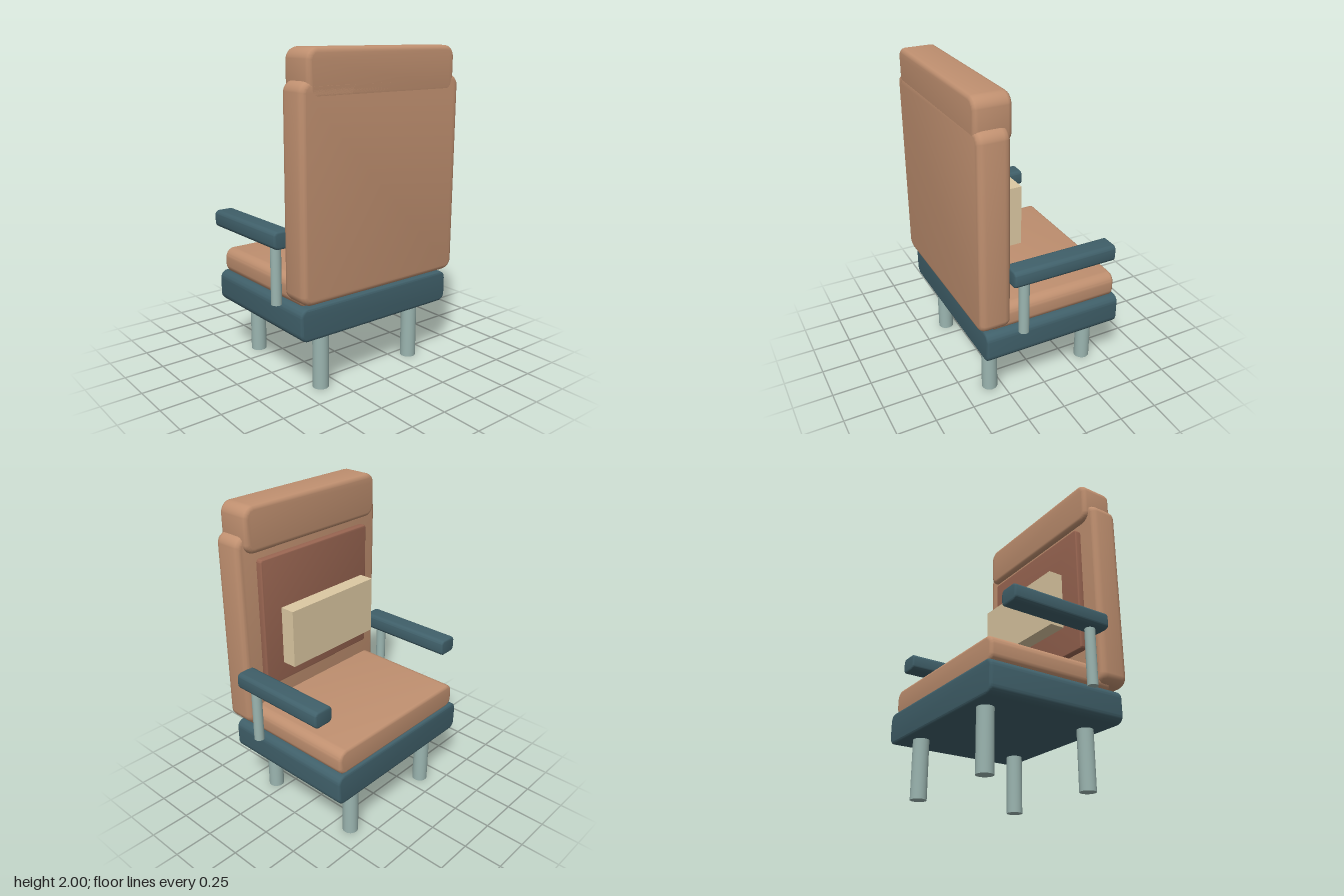
import * as THREE from 'three';
import { toCreasedNormals } from 'three/addons/utils/BufferGeometryUtils.js';

const colored = (color) => new THREE.MeshStandardMaterial({ color });
const leather = colored(0xc09070);
const teal = colored(0x40606a);
const metal = colored(0x9bb5b0);
const panelBrown = colored(0x9a6652);
const cream = colored(0xdcc8a2);

// Rounded outline in x/y, extruded along z with bevelled ends; all limits are outer sizes
function softBlock(name, material, [x0, x1], [y0, y1], [z0, z1], radius, bevel, bevelDepth = bevel) {
  const w = (x1 - x0) / 2 - bevel, h = (y1 - y0) / 2 - bevel;
  const r = Math.max(radius - bevel, 0.005);
  const s = new THREE.Shape();
  s.moveTo(-w + r, -h);
  s.lineTo(w - r, -h);
  s.absarc(w - r, -h + r, r, -Math.PI / 2, 0);
  s.lineTo(w, h - r);
  s.absarc(w - r, h - r, r, 0, Math.PI / 2);
  s.lineTo(-w + r, h);
  s.absarc(-w + r, h - r, r, Math.PI / 2, Math.PI);
  s.lineTo(-w, -h + r);
  s.absarc(-w + r, -h + r, r, Math.PI, Math.PI * 1.5);
  const geometry = new THREE.ExtrudeGeometry(s, {
    depth: z1 - z0 - 2 * bevelDepth,
    bevelSize: bevel, bevelThickness: bevelDepth, bevelSegments: 3, curveSegments: 6,
  });
  geometry.translate((x0 + x1) / 2, (y0 + y1) / 2, z0 + bevelDepth);
  const mesh = new THREE.Mesh(toCreasedNormals(geometry, 0.6), material);
  mesh.name = name;
  return mesh;
}

// Upright round post
function post(name, radius, x, z, y0, y1) {
  const mesh = new THREE.Mesh(new THREE.CylinderGeometry(radius, radius, y1 - y0, 24), metal);
  mesh.position.set(x, (y0 + y1) / 2, z);
  mesh.name = name;
  return mesh;
}

export function createModel() {
  const chair = new THREE.Group();
  chair.name = 'armchair';

  // Seat
  chair.add(softBlock('seatBase', teal, [-0.575, 0.575], [0.365, 0.565], [-0.475, 0.435], 0.05, 0.015));
  chair.add(softBlock('seatCushion', leather, [-0.545, 0.545], [0.55, 0.715], [-0.455, 0.38], 0.06, 0.02));

  // Backrest
  chair.add(softBlock('backCushion', leather, [-0.59, 0.59], [0.59, 1.83], [0.285, 0.475], 0.07, 0.03, 0.04));
  chair.add(softBlock('headrest', leather, [-0.545, 0.545], [1.72, 2.0], [0.255, 0.475], 0.07, 0.027));
  chair.add(softBlock('backPanel', panelBrown, [-0.455, 0.455], [0.835, 1.675], [0.245, 0.3], 0.02, 0.008));

  // Lumbar pillow
  const pillow = new THREE.Mesh(new THREE.BoxGeometry(0.71, 0.37, 0.096), cream);
  pillow.position.set(0, 1.18, 0.15);
  pillow.name = 'lumbarPillow';
  chair.add(pillow);

  // Armrests and legs, mirrored left and right
  for (const [label, side] of [['left', 1], ['right', -1]]) {
    const x = side * 0.586;
    chair.add(softBlock(label + 'Armrest', teal, [x - 0.067, x + 0.067], [0.895, 1.0], [-0.373, 0.295], 0.03, 0.012));
    chair.add(post(label + 'ArmPost', 0.032, x, 0.203, 0.54, 0.91));
    chair.add(post(label + 'FrontLeg', 0.05, side * 0.36, -0.367, 0, 0.38));
    chair.add(post(label + 'RearLeg', 0.05, side * 0.36, 0.325, 0, 0.38));
  }
  return chair;
}
